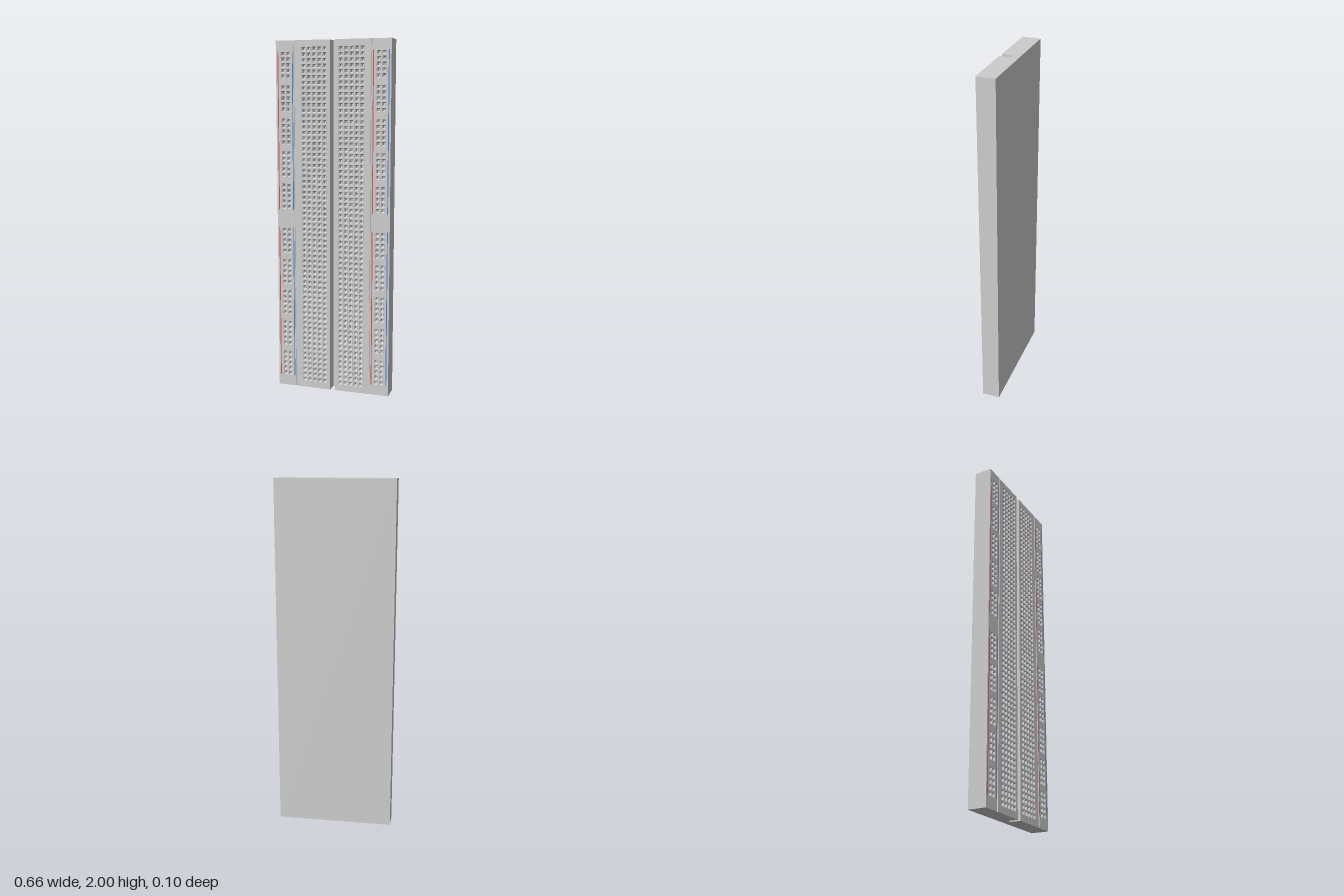
import * as THREE from 'three';
import { mergeGeometries } from 'three/addons/utils/BufferGeometryUtils.js';

const HEIGHT = 2, FRONT = 0.051, BACK = -0.051, HALF_WIDTH = 0.332;
const PITCH = 0.0307, HOLE = 0.011, PIN = 0.006; // hole pitch, half sizes of mouth and pin shaft
const TRENCH = 0.015, TRENCH_FLOOR = -0.011;
const SLIT_IN = 0.219, SLIT_OUT = 0.227; // thin grooves beside the rails

const grey = new THREE.MeshStandardMaterial({ color: 0xcccccc, flatShading: true });
const red = new THREE.MeshStandardMaterial({ color: 0xd0524a });
const blue = new THREE.MeshStandardMaterial({ color: 0x3f7fcf });

function addMesh(group, name, geometry, material) {
  const mesh = new THREE.Mesh(geometry, material);
  mesh.name = name;
  group.add(mesh);
  return mesh;
}

// Hole centres on the +x half, for the terminal strip and for the power rail
function terminalHoles() {
  const list = [];
  for (let row = -31; row <= 31; row++)
    for (let col = 0; col < 5; col++) list.push([0.047 + col * PITCH, 1 + row * PITCH]);
  return list;
}

function railHoles() {
  const list = [];
  for (const half of [-1, 1])
    for (let block = 0; block < 5; block++)
      for (let row = 0; row < 5; row++)
        for (const x of [0.261, 0.292])
          list.push([x, 1 + half * (0.067 + (block * 6 + row) * PITCH)]);
  return list;
}

const mirror = (list) => list.map(([x, y]) => [-x, y]);

function rectangle(path, x0, y0, x1, y1) {
  path.moveTo(x0, y0);
  path.lineTo(x1, y0);
  path.lineTo(x1, y1);
  path.lineTo(x0, y1);
  path.closePath();
  return path;
}

// Flat front panel pierced by square holes
function panelGeometry(x0, x1, holes) {
  const shape = rectangle(new THREE.Shape(), x0, 0, x1, HEIGHT);
  for (const [x, y] of holes)
    shape.holes.push(rectangle(new THREE.Path(), x - HOLE, y - HOLE, x + HOLE, y + HOLE));
  return new THREE.ShapeGeometry(shape).translate(0, 0, FRONT);
}

// Square funnels leading into closed pin shafts
function socketGeometry(holes) {
  const profile = [[HOLE, 0], [PIN, -0.01], [PIN, -0.03], [0, -0.03]]
    .map(([r, y]) => new THREE.Vector2(r * Math.SQRT2, y));
  const socket = new THREE.LatheGeometry(profile, 4).rotateY(Math.PI / 4).rotateX(Math.PI / 2);
  return mergeGeometries(holes.map(([x, y]) => socket.clone().translate(x, y, FRONT)));
}

// Walls and end caps of the block, swept from its x-z section; the front is left to the panels
function bodyGeometry() {
  const right = [
    [TRENCH, TRENCH_FLOOR], [TRENCH, FRONT],
    [SLIT_IN, FRONT], [SLIT_IN + 0.001, FRONT - 0.003], [SLIT_IN + 0.003, FRONT - 0.004],
    [SLIT_OUT - 0.003, FRONT - 0.004], [SLIT_OUT - 0.001, FRONT - 0.003], [SLIT_OUT, FRONT],
    [HALF_WIDTH, FRONT], [HALF_WIDTH, BACK],
  ];
  const section = [...mirror(right).reverse(), ...right];
  const parts = [];
  section.forEach(([ax, az], i) => {
    const [bx, bz] = section[(i + 1) % section.length];
    if (az === FRONT && bz === FRONT) return;
    parts.push(new THREE.PlaneGeometry(Math.hypot(bx - ax, bz - az), HEIGHT)
      .rotateY(Math.atan2(az - bz, bx - ax))
      .translate((ax + bx) / 2, HEIGHT / 2, (az + bz) / 2));
  });
  const shape = new THREE.Shape(section.map(([x, z]) => new THREE.Vector2(x, z)));
  const bottom = new THREE.ShapeGeometry(shape).rotateX(Math.PI / 2);
  const top = bottom.clone().rotateZ(Math.PI).translate(0, HEIGHT, 0);
  return mergeGeometries([...parts, bottom, top]);
}

export function createModel() {
  const model = new THREE.Group();
  model.name = 'breadboard';
  addMesh(model, 'body', bodyGeometry(), grey);

  // Terminal strips and power rails on both sides
  const terminal = terminalHoles(), rail = railHoles();
  const panels = [
    ['leftTerminalStrip', TRENCH, SLIT_IN, terminal],
    ['rightTerminalStrip', -SLIT_IN, -TRENCH, mirror(terminal)],
    ['leftPowerRail', SLIT_OUT, HALF_WIDTH, rail],
    ['rightPowerRail', -HALF_WIDTH, -SLIT_OUT, mirror(rail)],
  ];
  for (const [name, x0, x1, holes] of panels) {
    addMesh(model, name, panelGeometry(x0, x1, holes), grey);
    addMesh(model, name + 'Sockets', socketGeometry(holes), grey);
  }

  // Painted polarity lines, two lengths per rail
  const lines = [['red', -0.32, red], ['blue', -0.234, blue], ['red', 0.232, red], ['blue', 0.319, blue]];
  for (const [name, x, material] of lines)
    for (const y of [0.505, 1.495]) {
      const line = addMesh(model, name + 'Line', new THREE.PlaneGeometry(0.005, 0.89), material);
      line.position.set(x, y, FRONT + 0.0005);
    }
  return model;
}
